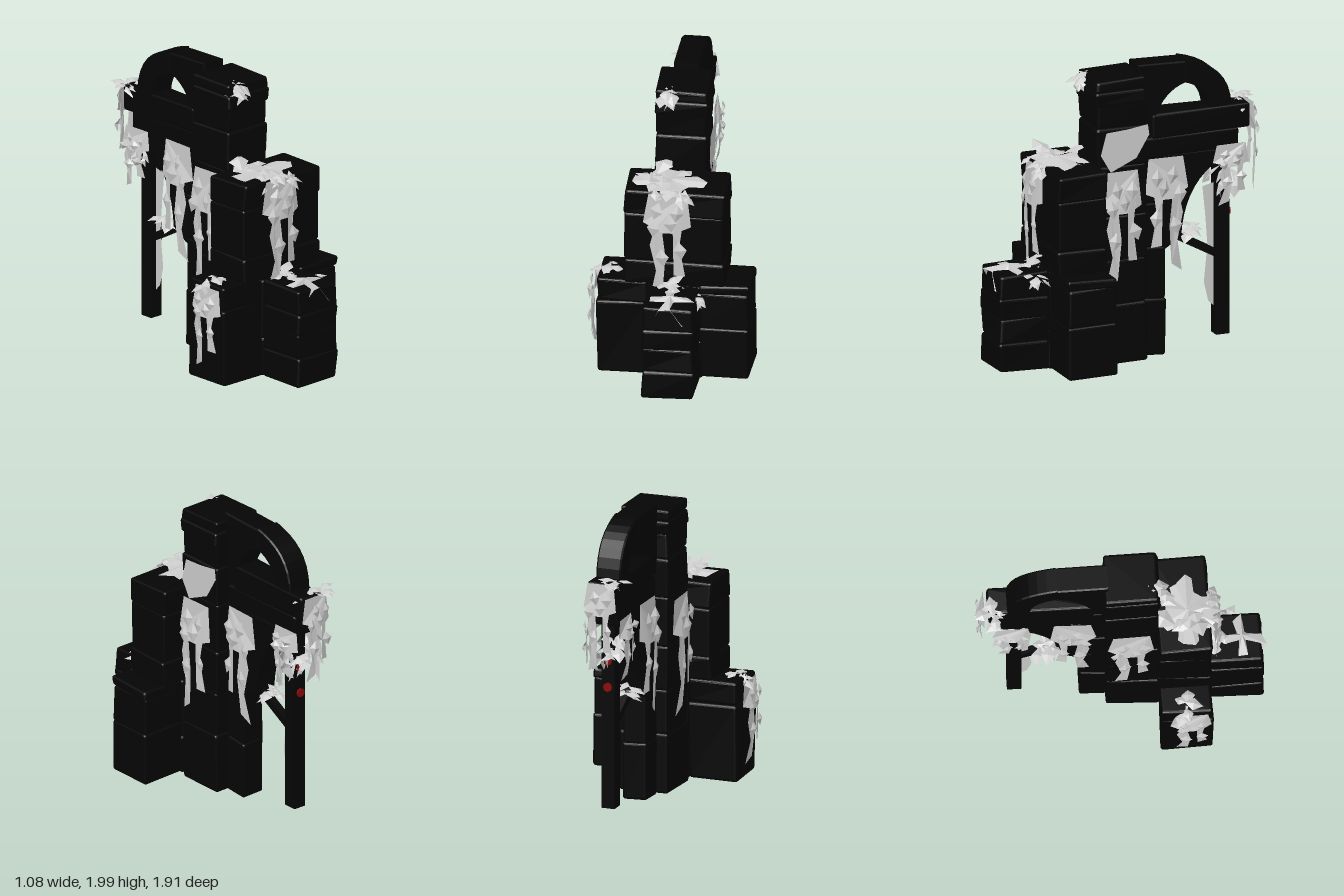
import * as THREE from 'three';
import { mergeGeometries } from 'three/addons/utils/BufferGeometryUtils.js';
import { RoundedBoxGeometry } from 'three/addons/geometries/RoundedBoxGeometry.js';

const stone = new THREE.MeshStandardMaterial({ color: 0x050505 });
const peg = new THREE.MeshStandardMaterial({ color: 0x8a0808 });
const ivy = new THREE.MeshStandardMaterial({ color: 0xcccccc, flatShading: true, side: THREE.DoubleSide });

let seed = 7;
const rnd = () => (seed = (seed * 16807) % 2147483647) / 2147483647;
const spread = (r) => (rnd() * 2 - 1) * r;

export function createModel() {
  const model = new THREE.Group();
  const add = (name, geo, mat, x = 0, y = 0, z = 0, parent = model) => {
    const m = new THREE.Mesh(geo, mat);
    m.name = name;
    m.position.set(x, y, z);
    parent.add(m);
    return m;
  };

  // Worn stone block: rounded box with gently uneven faces
  function block(name, [x0, x1], [y0, y1], [z0, z1], parent = model) {
    const g = new RoundedBoxGeometry(x1 - x0, y1 - y0, z1 - z0, 2, 0.018);
    const p = g.attributes.position, k = x0 * 31 + y0 * 17 + z0 * 23;
    for (let i = 0; i < p.count; i++) {
      const a = p.getX(i), b = p.getY(i), c = p.getZ(i);
      p.setXYZ(i, a + 0.006 * Math.sin(b * 19 + c * 13 + k),
        b + 0.006 * Math.sin(a * 17 + c * 15 + k), c + 0.006 * Math.sin(a * 14 + b * 21 + k));
    }
    g.computeVertexNormals();
    return add(name, g, stone, (x0 + x1) / 2, (y0 + y1) / 2, (z0 + z1) / 2, parent);
  }

  // Pile of blocks, one per course
  function stack(name, x, z, courses) {
    const group = new THREE.Group();
    group.name = name;
    for (let i = 0; i < courses.length - 1; i++) {
      const e = i % 2 ? 0.004 : 0;
      block(name + 'Course', [x[0] + e, x[1] - e], [courses[i], courses[i + 1] + 0.006], [z[0] + e, z[1] - e], group);
    }
    model.add(group);
  }

  // Stepped cross-shaped base, middle tier and tall column
  stack('frontBase', [-0.12, 0.22], [0.57, 0.92], [0.05, 0.24, 0.4, 0.54, 0.7]);
  stack('rightBase', [-0.46, -0.12], [0.23, 0.57], [0.05, 0.56, 0.71]);
  stack('leftBase', [0.21, 0.54], [0.23, 0.57], [0.05, 0.4, 0.65, 0.71]);
  stack('centreBase', [-0.13, 0.23], [0.22, 0.58], [0.04, 0.3, 0.7]);
  stack('middleTier', [-0.28, 0.38], [0.23, 0.575], [0.71, 0.87, 1.2, 1.37]);
  stack('column', [-0.12, 0.22], [-0.11, 0.24], [0.02, 0.42, 0.72, 1.02, 1.36, 1.62, 1.79]);
  stack('columnCap', [-0.125, 0.225], [-0.11, 0.245], [1.78, 1.87, 1.94]);
  stack('rearPillar', [-0.04, 0.13], [-0.28, -0.1], [0.02, 0.4, 0.75, 1.05, 1.37]);
  block('lowerBeam', [-0.04, 0.13], [1.35, 1.5], [-0.79, -0.115]);
  block('upperBeam', [-0.045, 0.135], [1.49, 1.66], [-0.87, -0.18]);

  // Side silhouettes drawn as (distance backward, height), extruded across x
  function slab(name, draw) {
    const s = new THREE.Shape();
    draw(s);
    const g = new THREE.ExtrudeGeometry(s, {
      depth: 0.15, curveSegments: 8, bevelThickness: 0.01, bevelSize: 0.008, bevelOffset: -0.008, bevelSegments: 1
    });
    g.rotateY(Math.PI / 2);
    add(name, g, stone, -0.03);
  }
  slab('archBlock', (s) => {
    s.moveTo(0.085, 2);
    s.lineTo(0.42, 1.99);
    s.lineTo(0.42, 1.845);
    s.quadraticCurveTo(0.27, 1.8, 0.21, 1.63);
    s.lineTo(0.18, 1.52);
    s.lineTo(0.085, 1.52);
  });
  slab('archCurve', (s) => {
    s.moveTo(0.415, 2);
    s.bezierCurveTo(0.6, 1.96, 0.74, 1.87, 0.745, 1.64);
    s.lineTo(0.59, 1.64);
    s.quadraticCurveTo(0.58, 1.8, 0.415, 1.845);
  });
  slab('archBracket', (s) => {
    s.moveTo(0.26, 1.37);
    s.lineTo(0.64, 1.37);
    s.lineTo(0.61, 1.26);
    s.quadraticCurveTo(0.41, 1.12, 0.39, 0.8);
    s.lineTo(0.26, 0.72);
  });

  // Timber post with diagonal brace and pegs
  add('post', new THREE.BoxGeometry(0.09, 1.27, 0.095), stone, 0.045, 0.73, -0.695);
  add('brace', new THREE.BoxGeometry(0.05, 0.05, 0.42), stone, 0.045, 0.735, -0.49).rotation.x = -0.5;
  for (const y of [0.92, 1.1]) {
    const g = new THREE.CylinderGeometry(0.03, 0.03, 0.02, 8);
    add('peg', g, peg, 0.045, y, -0.747).rotation.x = Math.PI / 2;
  }

  // One folded leaf pointing along +z
  function leaf(size) {
    const g = new THREE.BufferGeometry();
    g.setAttribute('position', new THREE.Float32BufferAttribute(
      [0, 0, 0, -0.34, -0.05, 0.5, 0, 0.07, 0.5, 0.34, -0.05, 0.5, 0, -0.12, 1], 3));
    g.setIndex([0, 1, 2, 0, 2, 3, 1, 4, 2, 2, 4, 3]);
    g.computeVertexNormals();
    return g.scale(size, size, size);
  }

  // Tuft of leaves fanning outward and drooping
  function tuft(name, x, y, z, size, n = 14, spreadXYZ = [0.03, 0.02, 0.03], droop = 0.4) {
    const parts = [];
    for (let i = 0; i < n; i++) {
      const g = leaf(size * (0.7 + rnd() * 0.4));
      g.rotateX(droop + spread(0.6)).rotateY(i * 2.4 + spread(0.3));
      parts.push(g.translate(...spreadXYZ.map(spread)));
    }
    add(name, mergeGeometries(parts), ivy, x, y, z);
  }

  // Irregular leafy sheet lying on a ledge, edges drooping
  function mat(name, x, y, z, rx, rz, drop) {
    const g = new THREE.CircleGeometry(1, 13).rotateX(-Math.PI / 2);
    const p = g.attributes.position;
    for (let i = 1; i < p.count; i++) {
      const r = 0.87 + 0.13 * Math.sin((i % 13) * 2.7);
      p.setXYZ(i, p.getX(i) * r, -drop * (0.5 + 0.5 * Math.cos((i % 13) * 2.1)), p.getZ(i) * r);
    }
    add(name, g.scale(rx, 1, rz), ivy, x, y, z);
  }

  // Hanging vine: forked sheet bulging from the wall, with leaves upon it
  const vine = [[-0.11, 0], [0.13, 0], [0.155, -0.24], [0.1, -0.26], [0.085, -0.38], [0.12, -0.61],
    [0.05, -0.6], [0.045, -0.28], [-0.02, -0.28], [0, -0.46], [-0.02, -0.73], [-0.1, -0.79],
    [-0.06, -0.57], [-0.1, -0.38], [-0.07, -0.25], [-0.145, -0.22]];
  function hangingVine(name, x, y, z, turn, sx = 1, sy = 1, leaves = true) {
    const group = new THREE.Group();
    group.name = name;
    const g = new THREE.ShapeGeometry(new THREE.Shape(vine.map(([u, v]) => new THREE.Vector2(u, v))));
    const p = g.attributes.position;
    for (let i = 0; i < p.count; i++) {
      const u = p.getX(i), v = p.getY(i);
      p.setZ(i, Math.max(0, 0.035 * (1 - (u / 0.16) ** 2)) + 0.02 * Math.sin(-v * 4));
    }
    add('vineSheet', g, ivy, 0, 0, 0, group);
    if (leaves) for (const [u, v] of [[-0.04, -0.05], [0.08, -0.06], [0.02, -0.14], [-0.07, -0.18], [0.08, -0.34], [-0.03, -0.4]]) {
      add('vineLeaf', leaf(0.13), ivy, u, v, 0.05, group).rotation.set(1.4, spread(0.3), spread(0.4));
    }
    group.position.set(x, y, z);
    group.rotation.y = turn;
    group.scale.set(sx, sy, 1);
    model.add(group);
  }

  const H = Math.PI / 2;
  hangingVine('frontVine', 0, 1.38, 0.58, 0, 1.05, 0.96);
  hangingVine('leftColumnVine', 0.22, 1.33, 0.09, H);
  hangingVine('leftArchVine', 0.135, 1.36, -0.28, H, -1, 0.98);
  hangingVine('rightColumnVine', -0.125, 1.33, 0.05, -H);
  hangingVine('rightArchVine', -0.045, 1.4, -0.31, -H, -1);
  hangingVine('rightBaseVine', -0.46, 0.7, 0.42, -H, 0.9, 0.7);
  hangingVine('beamEndVine', 0.045, 1.66, -0.875, Math.PI, 0.75, 0.75);
  hangingVine('beamSideVine', 0.135, 1.4, -0.72, H, 0.85, 0.52);
  hangingVine('beamFarVine', -0.05, 1.4, -0.72, -H, 0.85, 0.52);

  // Broad leaf patch on the column's side
  const patch = [[-0.17, 0.1], [-0.13, 0.25], [0.02, 0.26], [0.16, 0.28], [0.17, 0.21], [0.08, 0.06], [-0.1, -0.02]];
  const patchGeo = new THREE.ShapeGeometry(new THREE.Shape(patch.map(([u, v]) => new THREE.Vector2(u, v))));
  add('columnPatch', patchGeo, ivy, 0.235, 1.35, 0.05).rotation.y = H;

  // Strip of ivy down the front of the post
  const strip = [[-0.08, 0], [0, 0.02], [0, -0.82], [-0.04, -0.78], [-0.07, -0.65], [-0.045, -0.4], [-0.06, -0.2]];
  const stripGeo = new THREE.ShapeGeometry(new THREE.Shape(strip.map(([u, v]) => new THREE.Vector2(u, v))));
  add('postVine', stripGeo, ivy, 0.045, 1.1, -0.65).rotation.y = H;

  // Foliage on the ledges
  mat('middleTierIvy', 0.0, 1.41, 0.43, 0.27, 0.19, 0.05);
  mat('frontLedgeIvy', 0.05, 0.74, 0.79, 0.17, 0.17, 0.15);
  tuft('columnTopIvy', -0.03, 1.93, 0.22, 0.13, 14, [0.04, 0.03, 0.05]);
  tuft('middleTopIvy', -0.06, 1.4, 0.42, 0.18, 16, [0.1, 0.01, 0.07], 0.05);
  tuft('middleEdgeIvy', 0.02, 1.38, 0.57, 0.12, 14, [0.12, 0.03, 0.02], 0.7);
  tuft('rightLedgeIvy', -0.42, 0.73, 0.42, 0.13, 14, [0.03, 0.02, 0.04], 0.5);
  tuft('frontLedgeTuft', 0.18, 0.69, 0.67, 0.13, 14, [0.02, 0.02, 0.04], 0.5);
  tuft('frontSeamIvy', 0.03, 0.72, 0.62, 0.14, 10, [0.08, 0.02, 0.02], 0.1);
  tuft('beamEndIvy', 0.0, 1.66, -0.84, 0.12, 16, [0.06, 0.02, 0.03], 0.4);
  tuft('postTopIvy', 0.045, 1.22, -0.74, 0.15, 22, [0.08, 0.08, 0.08], 0.8);
  tuft('braceIvy', 0.03, 0.83, -0.48, 0.13, 12, [0.04, 0.02, 0.05], 0.1);

  return model;
}
